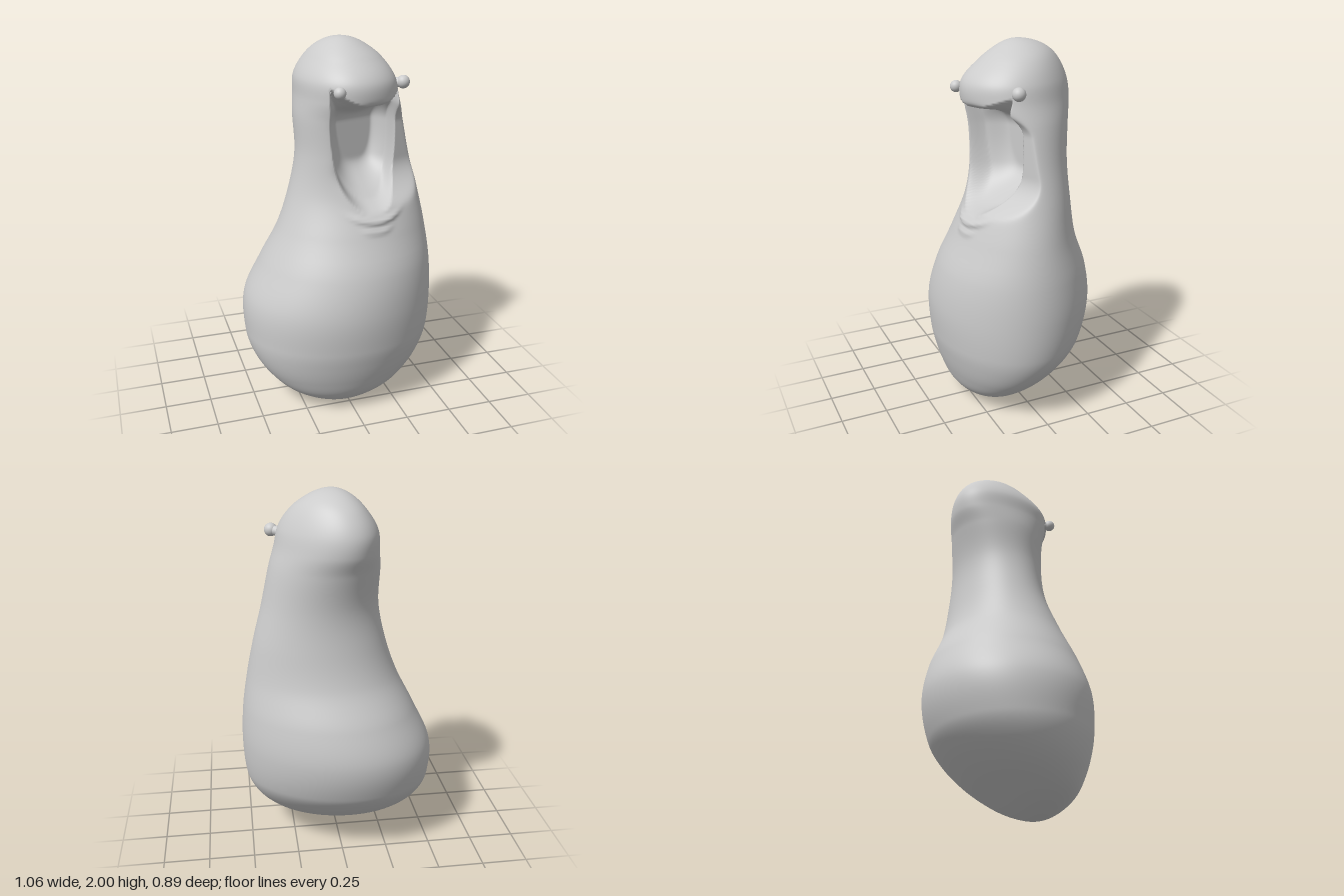
import * as THREE from 'three';

// Cross-sections: [y, xMin, xMax, zBack, zFront, frontSkew, backSkew]
const SECTIONS = [
  [0, -0.03, -0.03, 0.17, 0.17, 0, 0.1],
  [0.02, -0.15, 0.1, 0.08, 0.25, 0, 0.1],
  [0.1, -0.33, 0.29, -0.07, 0.34, 0, 0.1],
  [0.2, -0.44, 0.41, -0.22, 0.385, 0, 0.12],
  [0.3, -0.5, 0.48, -0.33, 0.415, 0, 0.12],
  [0.4, -0.525, 0.515, -0.4, 0.435, 0, 0.12],
  [0.6, -0.52, 0.53, -0.445, 0.445, 0, 0.12],
  [0.8, -0.43, 0.52, -0.4, 0.41, 0, 0.1],
  [1.0, -0.33, 0.49, -0.31, 0.33, 0, 0.08],
  [1.2, -0.26, 0.45, -0.27, 0.26, 0.02, 0.06],
  [1.4, -0.22, 0.4, -0.26, 0.25, 0.04, 0.06],
  [1.6, -0.22, 0.355, -0.295, 0.26, 0.03, 0.15],
  [1.7, -0.21, 0.325, -0.325, 0.28, 0, 0.25],
  [1.8, -0.2, 0.3, -0.32, 0.27, 0, 0.3],
  [1.9, -0.14, 0.235, -0.265, 0.175, 0, 0.3],
  [1.96, -0.08, 0.16, -0.19, 0.09, 0, 0.2],
  [2, 0.03, 0.03, -0.03, -0.03, 0, 0.1],
];
const KNOTS = SECTIONS.map((s) => Math.acos(1 - s[0])); // rounds off both ends

// Smooth interpolation of one column of the section table
function sample(a, col) {
  const last = SECTIONS.length - 1;
  let i = 0;
  while (i < last - 1 && a > KNOTS[i + 1]) i++;
  const slope = (k) => {
    const p = Math.max(k - 1, 0), n = Math.min(k + 1, last);
    return (SECTIONS[n][col] - SECTIONS[p][col]) / (KNOTS[n] - KNOTS[p]);
  };
  const h = KNOTS[i + 1] - KNOTS[i];
  const u = (a - KNOTS[i]) / h, u2 = u * u, u3 = u2 * u;
  return (2 * u3 - 3 * u2 + 1) * SECTIONS[i][col] + (u3 - 2 * u2 + u) * h * slope(i)
    + (3 * u2 - 2 * u3) * SECTIONS[i + 1][col] + (u3 - u2) * h * slope(i + 1);
}

// Flattens the throat to a slanted, hollowed face that carries the mouth rim
function throatCut(x, y, z) {
  const limit = 0.215 - 0.37 * (x + 0.1)
    + 4 * Math.max(0, 1.35 - y) ** 2 + 7 * Math.max(0, y - 1.55) ** 2;
  const over = z - limit;
  return (over + Math.sqrt(over * over + 0.0006)) / 2;
}

// Depth of the open mouth at a point on the front
function mouthDepth(x, y) {
  const dx = Math.abs(x - 0.1 - 0.05 * (1.7 - y)) / 0.2;
  const dy = Math.max(0, 1.6 - y) / 0.48;
  const side = (1 - Math.pow(dx ** 2.5 + dy ** 2.5, 0.4)) * 0.2;
  const lip = 1.68 + 1.9 * (x - 0.12) ** 2 - y;
  const inside = Math.min(side, lip);
  return 0.08 * THREE.MathUtils.smoothstep(inside, 0, 0.02)
    + 0.1 * THREE.MathUtils.smoothstep(inside, 0, 0.09);
}

// Raised skin folds beneath the mouth
function chinFold(x, y) {
  const fold = (y0, width, height) => {
    const dx = x - 0.13;
    const line = y0 + 1.6 * dx * dx;
    return height * Math.exp(-(((y - line) / 0.014) ** 2)) * Math.exp(-((dx / width) ** 4));
  };
  return fold(1.085, 0.13, 0.02) + fold(1.035, 0.08, 0.01);
}

function bodyGeometry(rows = 230, cols = 260) {
  const pos = [], index = [];
  for (let i = 0; i <= rows; i++) {
    const a = (i / rows) * Math.PI;
    const y = 1 - Math.cos(a);
    const [x0, x1, z0, z1, front, back] = [1, 2, 3, 4, 5, 6].map((c) => sample(a, c));
    for (let j = 0; j < cols; j++) {
      const t = (j / cols) * Math.PI * 2;
      const skew = (front + back) / 2 + ((front - back) / 2) * Math.sin(t);
      const x = (x0 + x1) / 2 + ((x1 - x0) / 2) * Math.cos(t);
      let z = (z0 + z1) / 2 + ((z1 - z0) / 2) * Math.sin(t + skew);
      if (y > 0.9 && y < 1.9) z -= throatCut(x, y, z);
      if (Math.sin(t) > 0) z += chinFold(x, y) - mouthDepth(x, y);
      pos.push(x, y, z);
      if (i < rows) {
        const k = (j + 1) % cols;
        const p = i * cols + j, q = i * cols + k;
        index.push(p, p + cols, q, q, p + cols, q + cols);
      }
    }
  }
  const g = new THREE.BufferGeometry();
  g.setAttribute('position', new THREE.Float32BufferAttribute(pos, 3));
  g.setIndex(index);
  g.computeVertexNormals();
  return g;
}

export function createModel() {
  const group = new THREE.Group();
  const material = new THREE.MeshStandardMaterial({ color: 0xcccccc, side: THREE.DoubleSide });

  const body = new THREE.Mesh(bodyGeometry(), material);
  body.name = 'body';
  group.add(body);

  // Small bead eyes at the corners of the upper lip, each on a short stalk
  const eyes = [
    ['leftEye', [0.332, 1.768, 0.1], 0.035, [0.27, 1.76, 0.06]],
    ['rightEye', [-0.066, 1.76, 0.268], 0.031, [-0.04, 1.755, 0.19]],
  ];
  for (const [name, at, radius, root] of eyes) {
    const eye = new THREE.Group();
    eye.name = name;
    const ball = new THREE.Mesh(new THREE.SphereGeometry(radius, 24, 16), material);
    ball.name = name + 'Ball';
    ball.position.set(...at);
    const path = new THREE.LineCurve3(new THREE.Vector3(...root), new THREE.Vector3(...at));
    const stalk = new THREE.Mesh(new THREE.TubeGeometry(path, 4, radius * 0.75, 16), material);
    stalk.name = name + 'Stalk';
    eye.add(ball, stalk);
    group.add(eye);
  }
  return group;
}
